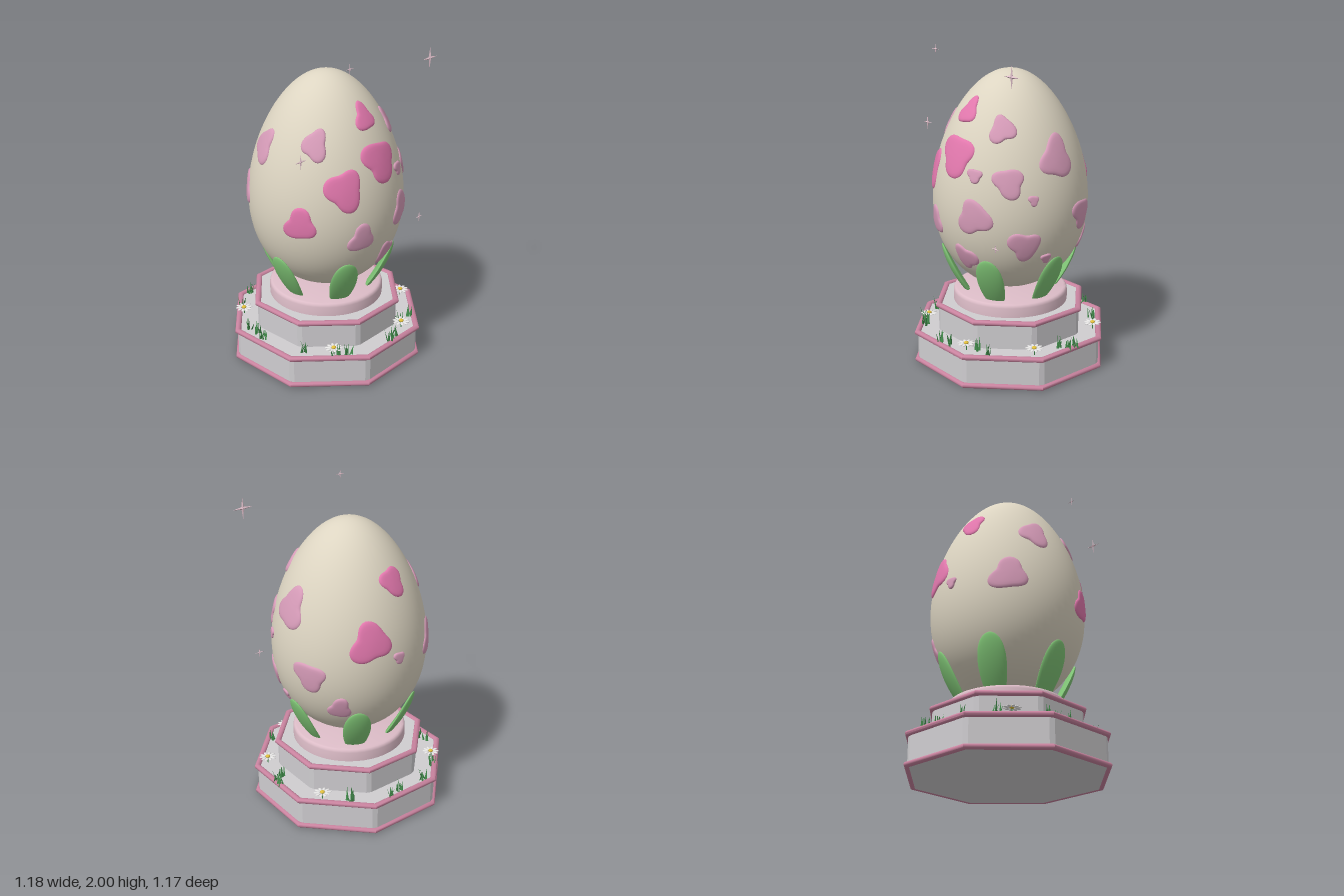
import * as THREE from 'three';
import { mergeGeometries, toCreasedNormals } from 'three/addons/utils/BufferGeometryUtils.js';

const material = (name, color) => {
  const m = new THREE.MeshStandardMaterial({ color });
  m.name = name;
  return m;
};

const EGG_Y = 1.157, EGG_H = 0.6875, EGG_R = 0.476;
const TILT = Math.PI / 8;

// Egg radius at a height
const eggRadius = (y) => {
  const t = THREE.MathUtils.clamp((y - EGG_Y) / EGG_H, -1, 1);
  return EGG_R * Math.sqrt(1 - t * t) * (1 - 0.17 * t);
};
const eggSlope = (y) => (eggRadius(y + 0.002) - eggRadius(y - 0.002)) / 0.004;

function eggGeometry() {
  const pts = [];
  for (let i = 0; i <= 48; i++) {
    const y = EGG_Y - EGG_H * Math.cos((i / 48) * Math.PI);
    pts.push(new THREE.Vector2(i % 48 ? eggRadius(y) : 0, y));
  }
  return new THREE.LatheGeometry(pts, 64);
}

// Puffy three-lobed patch wrapped over the egg
function spotGeometry(azimuth, yc, w, h, lobeAngle) {
  const az = THREE.MathUtils.degToRad(azimuth), rot = THREE.MathUtils.degToRad(lobeAngle);
  const rc = eggRadius(yc), rise = 1 / Math.hypot(1, eggSlope(yc));
  const N = 42, rings = [0.3, 0.6, 0.78, 0.88, 0.95, 0.99, 1];
  const pos = [], idx = [];
  const add = (a, b, lift) => {
    const y = yc + b * rise, th = az + a / rc, k = eggSlope(y), n = 1 / Math.hypot(1, k);
    const r = eggRadius(y) + lift * n;
    pos.push(Math.sin(th) * r, y - k * n * lift, Math.cos(th) * r);
  };
  add(0, 0, 0.011);
  rings.forEach((s, i) => {
    const lift = -0.004 + 0.015 * Math.sqrt(1 - s ** 8);
    for (let j = 0; j < N; j++) {
      const p = (j / N) * Math.PI * 2;
      const q = 0.95 + 0.17 * Math.cos(3 * (p - rot)) + 0.06 * Math.cos(2 * p + rot * 3) + 0.03 * Math.cos(5 * p + rot);
      add(Math.cos(p) * q * s * w, Math.sin(p) * q * s * h, lift);
      const k = (j + 1) % N, o = 1 + i * N;
      if (i === 0) idx.push(0, o + j, o + k);
      else idx.push(o - N + j, o + j, o + k, o - N + j, o + k, o - N + k);
    }
  });
  const g = new THREE.BufferGeometry();
  g.setAttribute('position', new THREE.Float32BufferAttribute(pos, 3));
  g.setIndex(idx);
  g.computeVertexNormals();
  return g;
}

// Rounded leaf that leans outward along the egg
function leafGeometry() {
  const g = new THREE.SphereGeometry(1, 24, 24), p = g.attributes.position;
  for (let i = 0; i < p.count; i++) {
    const u = p.getY(i), y = 0.5575 + 0.1975 * u, s = (y - 0.455) / 0.3;
    const x = p.getX(i) * 0.084 * (1 + 0.25 * u);
    const r = 0.285 + 0.2 * s - 0.055 * s * s - 1.2 * x * x + p.getZ(i) * 0.022;
    p.setXYZ(i, x, y, r);
  }
  g.computeVertexNormals();
  return g;
}

// Octagonal block with chamfered corners
function octagonBlock(apothem, y0, y1) {
  const pts = [], half = apothem * Math.tan(TILT) - 0.018;
  for (let k = 0; k < 8; k++) {
    const c = Math.cos((k * Math.PI) / 4), s = Math.sin((k * Math.PI) / 4);
    for (const t of [-half, half]) pts.push(new THREE.Vector2(c * apothem - s * t, s * apothem + c * t));
  }
  const g = new THREE.ExtrudeGeometry(new THREE.Shape(pts), { depth: y1 - y0, bevelEnabled: false });
  return g.rotateX(-Math.PI / 2).translate(0, y0, 0);
}

// Octagonal rounded moulding
function octagonTrim(apothem, y) {
  const pts = [];
  for (let i = 0; i <= 12; i++) {
    const a = (i / 12) * Math.PI * 2;
    pts.push(new THREE.Vector2((apothem + 0.019 * Math.cos(a)) / Math.cos(TILT), y + 0.0165 * Math.sin(a)));
  }
  return toCreasedNormals(new THREE.LatheGeometry(pts, 8, TILT), 0.7);
}

export function createModel() {
  const shell = material('shell cream', 0xddd5c2);
  const stone = material('pale stone', 0xcfcdd0);
  const trimPink = material('mauve trim', 0xc9839f);
  const blush = material('blush', 0xdcbcc7);
  const leafGreen = material('leaf green', 0x82c878);
  const brightPink = material('bright pink', 0xe278ad);
  const softPink = material('soft pink', 0xd79cb9);
  const grassGreen = material('grass green', 0x41894a);
  const petalWhite = material('petal white', 0xf0efee);
  const pollen = material('pollen yellow', 0xe0be3c);

  let seed = 7;
  const rand = () => (seed = (seed * 16807) % 2147483647) / 2147483647;
  const root = new THREE.Group();
  root.name = 'eggOnPedestal';
  const add = (parent, name, geo, mat) => {
    const m = new THREE.Mesh(geo, mat);
    m.name = name;
    parent.add(m);
    return m;
  };
  const group = (name, parent = root) => {
    const g = new THREE.Group();
    g.name = name;
    parent.add(g);
    return g;
  };

  // Pedestal
  const pedestal = group('pedestal');
  pedestal.position.x = -0.01;
  add(pedestal, 'lowerTier', octagonBlock(0.568, 0.004, 0.202), stone);
  add(pedestal, 'upperTier', octagonBlock(0.44, 0.2, 0.372), stone);
  [[0.567, 0.0165], [0.567, 0.199], [0.437, 0.368]].forEach(([a, y]) => add(pedestal, 'trim', octagonTrim(a, y), trimPink));
  const disc = [[0.363, 0.36], [0.363, 0.432], [0.36, 0.444], [0.353, 0.452], [0.342, 0.455], [0, 0.455]];
  add(pedestal, 'disc', toCreasedNormals(new THREE.LatheGeometry(disc.map((p) => new THREE.Vector2(...p)), 48), 0.7), blush);

  // Egg and its spots: azimuth, height, half width, half height, lobe angle
  const egg = group('egg');
  egg.position.x = -0.01;
  add(egg, 'eggShell', eggGeometry(), shell);
  const bright = [
    [-2, 1.62, 0.07, 0.092, 90], [1, 1.375, 0.135, 0.13, -90], [-34, 1.25, 0.122, 0.12, 50],
    [-66, 1.035, 0.1, 0.105, 90], [158, 1.23, 0.12, 0.13, 100], [187, 1.54, 0.088, 0.09, -75],
  ];
  const soft = [
    [-57, 1.5, 0.08, 0.092, 60], [42, 1.54, 0.075, 0.09, 110], [22.5, 1.28, 0.05, 0.044, -90],
    [48.5, 1.25, 0.095, 0.09, -80], [-21, 0.935, 0.085, 0.095, 90], [23, 1.03, 0.11, 0.112, 105],
    [60, 0.865, 0.1, 0.098, 150], [11, 0.755, 0.08, 0.095, 125], [66, 1.145, 0.032, 0.034, -90],
    [89, 1.37, 0.118, 0.128, 75], [113, 1.0, 0.108, 0.098, -90], [79, 0.765, 0.036, 0.037, -80],
    [248, 1.43, 0.1, 0.105, 60], [225, 1.1, 0.115, 0.112, 90], [180, 1.11, 0.04, 0.04, -90],
    [135, 0.79, 0.075, 0.085, 80],
  ];
  bright.forEach((s) => add(egg, 'brightSpot', spotGeometry(...s), brightPink));
  soft.forEach((s) => add(egg, 'softSpot', spotGeometry(...s), softPink));

  // Six leaves cradling the egg
  const leaves = group('leaves');
  leaves.position.x = -0.01;
  const leaf = leafGeometry();
  for (let i = 0; i < 6; i++) add(leaves, 'leaf', leaf, leafGreen).rotation.y = Math.PI / 6 + (i * Math.PI) / 3;

  // Grass tufts on the lower tier
  const grass = group('grass');
  const tufts = [
    [-0.19, -0.54], [0, -0.53], [0.09, -0.555], [0.31, -0.43], [-0.35, -0.44], [-0.51, -0.2],
    [-0.51, -0.13], [-0.53, -0.05], [-0.466, 0.245], [-0.38, 0.42], [-0.306, 0.46], [-0.01, 0.555],
    [0.05, 0.53], [0.2, 0.45], [0.29, 0.45], [0.56, -0.035], [0.55, 0.02], [0.5, 0.05],
  ];
  tufts.forEach(([x, z]) => {
    const blades = [];
    for (let i = 0; i < 6; i++) {
      const h = 0.055 + rand() * 0.035;
      const b = new THREE.ConeGeometry(0.009, h, 4).toNonIndexed();
      b.scale(1, 1, 0.45).translate(0, h / 2, 0).rotateX((rand() - 0.3) * 0.6);
      b.rotateY(rand() * 6.28).translate((rand() - 0.5) * 0.045, 0, (rand() - 0.5) * 0.035);
      blades.push(b);
    }
    const g = mergeGeometries(blades);
    g.computeVertexNormals();
    add(grass, 'grassTuft', g, grassGreen).position.set(x, 0.2, z);
  });

  // Daisies
  const petals = [];
  for (let i = 0; i < 10; i++) {
    const p = new THREE.SphereGeometry(1, 10, 6).scale(0.021, 0.004, 0.0095);
    petals.push(p.translate(0.035, 0, 0).rotateY((i / 10) * Math.PI * 2));
  }
  const petalRing = mergeGeometries(petals);
  const heart = new THREE.SphereGeometry(0.015, 14, 10).scale(1, 0.6, 1).translate(0, 0.003, 0);
  const stem = new THREE.CylinderGeometry(0.003, 0.003, 0.05, 6).translate(0, -0.025, 0);
  [[-0.402, -0.367], [0.434, -0.307], [0.48, 0.23], [0.16, 0.495], [-0.364, 0.39]].forEach(([x, z], i) => {
    const f = group('daisy');
    f.position.set(x, 0.247, z);
    f.rotation.set((rand() - 0.5) * 0.12, i * 0.7, (rand() - 0.5) * 0.12);
    add(f, 'petals', petalRing, petalWhite);
    add(f, 'flowerCentre', heart, pollen);
    add(f, 'stem', stem, grassGreen);
  });

  // Floating four-pointed sparkles
  const star = mergeGeometries([
    new THREE.OctahedronGeometry(1).scale(1, 0.14, 0.14),
    new THREE.OctahedronGeometry(1).scale(0.14, 1, 0.14),
  ]);
  [[-0.238, 1.967, 0.386, 0.033], [0.47, 1.887, 0.4, 0.068], [-0.505, 1.468, 0.265, 0.048], [0.375, 0.89, 0.44, 0.035]]
    .forEach(([x, y, z, r]) => {
      const s = add(root, 'sparkle', star, blush);
      s.position.set(x, y, z);
      s.scale.setScalar(r);
    });
  return root;
}
